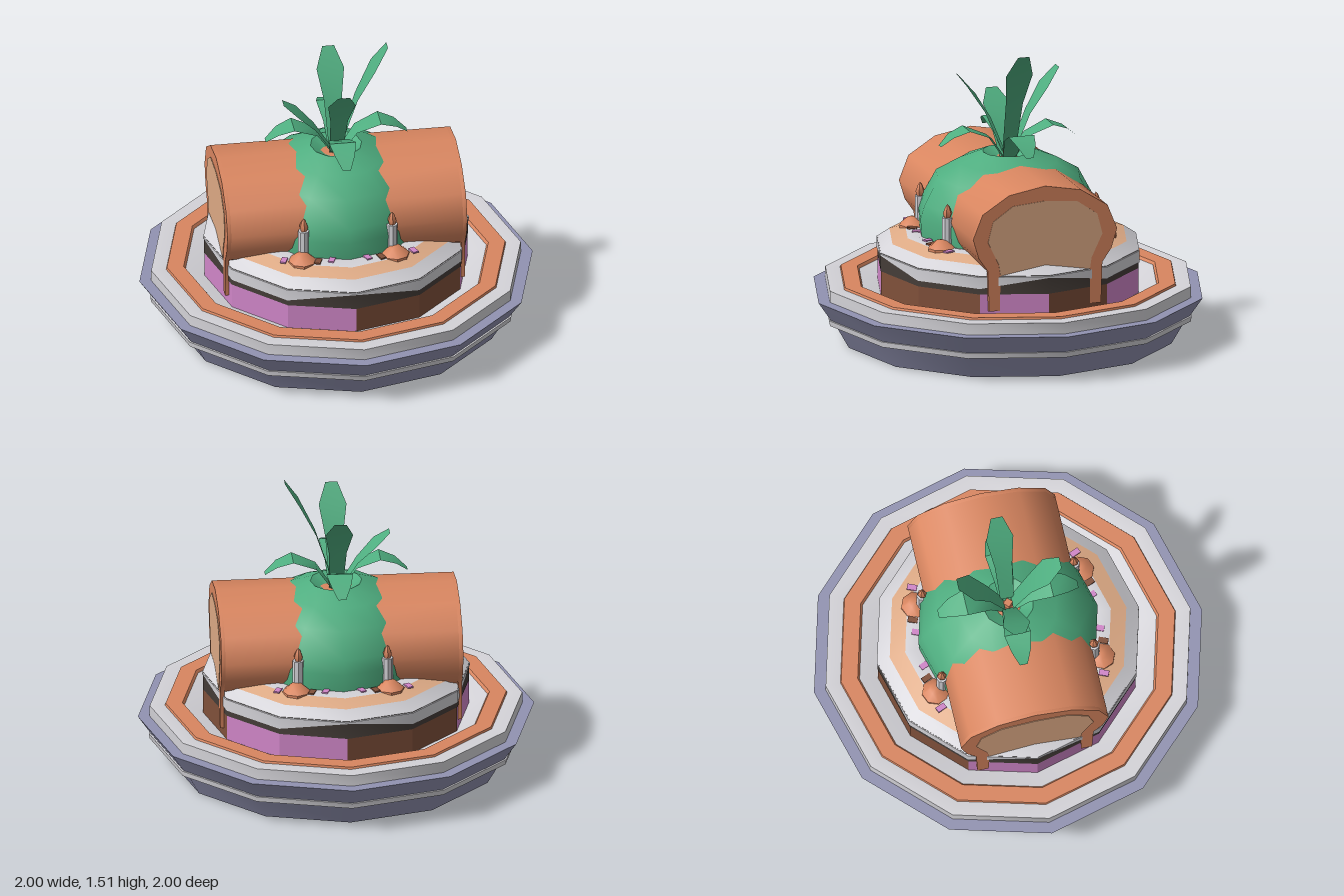
import * as THREE from 'three';
import { toCreasedNormals } from 'three/addons/utils/BufferGeometryUtils.js';

const PALETTE = {
  slate: 0x9293b2, cream: 0xd4d3d8, orange: 0xd98660, peach: 0xdfab86, brown: 0x80503a,
  chocolate: 0x453d38, pink: 0xd086c8, green: 0x4fae80
};

export function createModel() {
  const model = new THREE.Group();
  const mat = {};
  for (const [name, color] of Object.entries(PALETTE)) {
    mat[name] = new THREE.MeshStandardMaterial({ color });
    mat[name].name = name;
  }
  // Leaves are open strips, so the green shows from both sides
  mat.green.side = THREE.DoubleSide;

  const add = (name, geometry, material, parent = model) => {
    const mesh = new THREE.Mesh(toCreasedNormals(geometry, 0.75), material);
    mesh.name = name;
    parent.add(mesh);
    return mesh;
  };
  const lathe = (points, sides = 12, start = 0, length = Math.PI * 2) =>
    new THREE.LatheGeometry(points.map(([r, y]) => new THREE.Vector2(r, y)), sides, start, length);

  // Twelve-sided stand in bands
  add('standFoot', lathe([[0, 0], [0.84, 0], [0.91, 0.122]]), mat.slate);
  add('standStripe', lathe([[0.91, 0.122], [0.94, 0.122], [0.945, 0.15], [0.935, 0.15]]), mat.cream);
  add('standRim', lathe([[0.935, 0.15], [1, 0.245], [0.93, 0.245]]), mat.slate);
  add('plate', lathe([[0.94, 0.245], [0.94, 0.303], [0.78, 0.303], [0.66, 0.25], [0, 0.25]]), mat.cream);
  add('plateRing', lathe([[0.865, 0.3], [0.86, 0.314], [0.775, 0.314], [0.765, 0.3]]), mat.orange);

  // Cake sides: pink and brown panels
  const pinkPanels = [2, 4, 5, 8, 9, 10, 11];
  for (let k = 0; k < 12; k++) {
    const pink = pinkPanels.includes(k);
    add('cakePanel', lathe([[0.67, 0.25], [0.67, 0.385]], 1, k * Math.PI / 6, Math.PI / 6),
      pink ? mat.pink : mat.brown);
  }
  add('chocolateLayer', lathe([[0.66, 0.385], [0.672, 0.385], [0.672, 0.48]]), mat.chocolate);

  // Icing with a wavy lower edge
  const icing = lathe([[0.676, 0.415], [0.676, 0.475], [0.61, 0.52]]);
  const pos = icing.attributes.position;
  for (let i = 0; i < pos.count; i++) {
    if (i % 3 === 0 && Math.round(i / 3) % 3 === 0) pos.setY(i, 0.468);
  }
  add('icingSkirt', icing, mat.cream);
  add('icingRing', lathe([[0.61, 0.52], [0.53, 0.545]]), mat.peach);
  add('icingTop', lathe([[0.53, 0.545], [0.48, 0.552], [0.42, 0.54], [0, 0.54]]), mat.cream);

  // Sprinkles on the icing
  for (const sx of [-1, 1]) for (const sz of [-1, 1]) {
    [[0.09, 0.45, mat.pink], [0.16, 0.455, mat.brown], [0.33, 0.42, mat.pink]].forEach(([x, z, m]) => {
      const s = add('sprinkle', new THREE.BoxGeometry(0.03, 0.008, 0.05), m);
      s.position.set(sx * x, 0.552, sz * z);
      s.rotation.y = sx * sz * 0.4;
    });
  }

  // Roll lying along x
  const mirrorShape = half => new THREE.Shape([
    ...half.map(([z, y]) => new THREE.Vector2(z, y)),
    ...half.slice().reverse().filter(([z]) => z > 0).map(([z, y]) => new THREE.Vector2(-z, y))
  ]);
  const slab = (half, x0, x1) => {
    const g = new THREE.ExtrudeGeometry(mirrorShape(half), { depth: x1 - x0, bevelEnabled: false });
    return g.rotateY(Math.PI / 2).translate(x0, 0, 0);
  };
  const arch = [[0, 0.93], [0.19, 0.895], [0.33, 0.805], [0.38, 0.68], [0.35, 0.58], [0.302, 0.51]];
  add('roll', slab([...arch, [0.23, 0.46], [0, 0.46]], -0.59, 0.59), mat.orange);
  const frame = [...arch, [0.295, 0.3], [0.238, 0.3], [0.236, 0.48], [0, 0.52]];
  const filling = [[0, 0.853], [0.17, 0.838], [0.275, 0.765], [0.302, 0.66], [0.245, 0.54], [0.236, 0.482], [0, 0.52]];
  for (const s of [-1, 1]) {
    const x = s * 0.6;
    add('rollEndWithDrips', slab(frame, x - 0.01, x + 0.01), mat.orange);
    add('rollFilling', slab(filling, s * 0.61 - 0.003, s * 0.61 + 0.003), mat.peach);
  }

  // Dome draped through the roll, dipping at the crown
  add('dome', lathe([[0.455, 0.53], [0.462, 0.64], [0.44, 0.71], [0.37, 0.84], [0.25, 0.91],
    [0.13, 0.96], [0.03, 0.90]]), mat.green);

  // Leaf strip from sections of [distance out, height, half width]
  const leaf = (name, sections, angle) => {
    const v = [], idx = [];
    sections.forEach(([r, y, w], i) => {
      v.push(-w, y, r, w, y, r);
      if (i) idx.push(2 * i - 2, 2 * i - 1, 2 * i + 1, 2 * i - 2, 2 * i + 1, 2 * i);
    });
    const g = new THREE.BufferGeometry();
    g.setAttribute('position', new THREE.Float32BufferAttribute(v, 3));
    g.setIndex(idx);
    add(name, g, mat.green).rotation.y = angle;
  };
  const tall = (tipR, tipY) => [[0, 0.14, 0.035], [0.35, 0.55, 0.045], [0.7, 0.82, 0.07], [1, 1, 0.03]]
    .map(([r, t, w]) => [0.02 + r * (tipR - 0.02), 0.88 + t * (tipY - 0.88), w]);
  const low = [[0.02, 0.92, 0.035], [0.1, 1.04, 0.05], [0.22, 1.09, 0.068], [0.3, 1.06, 0.05], [0.36, 1.01, 0.02]];
  [[0.27, 1.38], [0.26, 1.51], [0.26, 1.38], [0.27, 1.22]].forEach(([r, y], k) => {
    leaf('tallLeaf', tall(r, y), k * Math.PI / 2);
    leaf('lowLeaf', low, k * Math.PI / 2);
  });
  add('crownCore', new THREE.CylinderGeometry(0.025, 0.03, 0.06, 4).translate(0, 0.93, 0), mat.orange);

  // Four candles on dollops
  for (const sx of [-1, 1]) for (const sz of [-1, 1]) {
    const candle = new THREE.Group();
    candle.name = 'candle';
    candle.position.set(sx * 0.225, 0, sz * 0.392);
    add('dollop', lathe([[0.07, 0.53], [0.07, 0.55], [0.03, 0.585], [0, 0.59]], 8), mat.orange, candle)
      .position.set(sx * 0.012, 0, sz * 0.035);
    add('wax', new THREE.CylinderGeometry(0.028, 0.028, 0.15, 8).translate(0, 0.625, 0), mat.cream, candle);
    add('flame', lathe([[0, 0.69], [0.015, 0.695], [0.024, 0.722], [0.012, 0.755], [0, 0.77]], 6), mat.orange, candle);
    model.add(candle);
  }
  return model;
}
